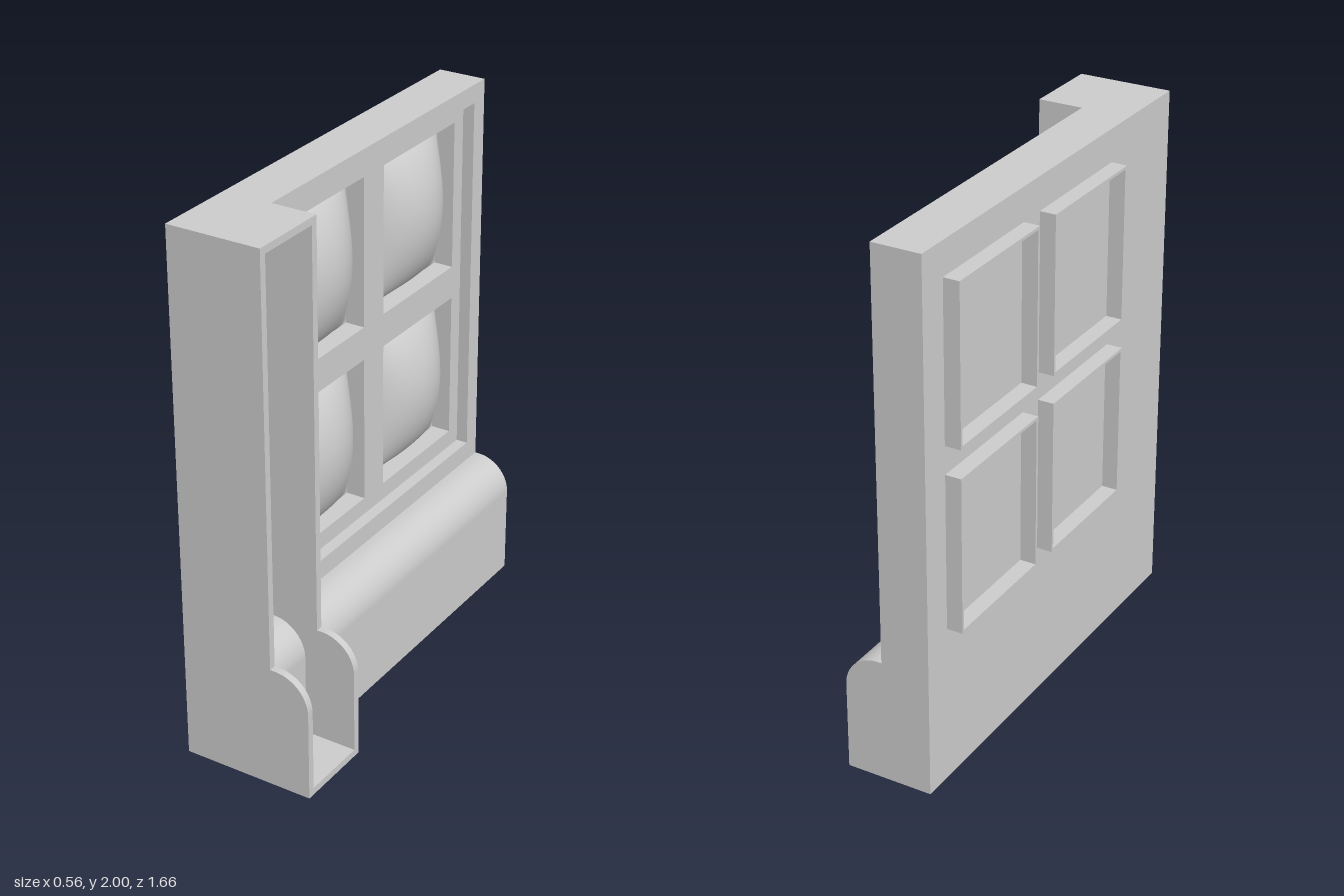
import * as THREE from 'three';

const BACK = -0.225, FACE = -0.04, REBATE = -0.085, GLASS = -0.16;
const END = 0.83, CORNER = 0.52;
const material = new THREE.MeshStandardMaterial({ color: 0xcccccc });

function add(parent, name, geometry) {
  const mesh = new THREE.Mesh(geometry, material);
  mesh.name = name;
  parent.add(mesh);
  return mesh;
}

function box(parent, name, x0, x1, y0, y1, z0, z1) {
  const mesh = add(parent, name, new THREE.BoxGeometry(x1 - x0, y1 - y0, z1 - z0));
  mesh.position.set((x0 + x1) / 2, (y0 + y1) / 2, (z0 + z1) / 2);
}

// Rectangle in the wall plane, drawn with -z to the right
function rect(Type, z0, z1, y0, y1) {
  return new Type([[-z1, y0], [-z0, y0], [-z0, y1], [-z1, y1]].map(([u, y]) => new THREE.Vector2(u, y)));
}

// Rectangular slab with rectangular holes, spanning x0..x1
function panel(parent, name, outer, holes, x0, x1) {
  const shape = rect(THREE.Shape, ...outer);
  holes.forEach((h) => shape.holes.push(rect(THREE.Path, ...h)));
  const geo = new THREE.ExtrudeGeometry(shape, { depth: x1 - x0, bevelEnabled: false });
  geo.rotateY(Math.PI / 2).translate(x0, 0, 0);
  add(parent, name, geo);
}

// Wall section with a round-shouldered plinth, running along z
function section(parent, name, face, plinth, top, z0, z1) {
  const s = new THREE.Shape();
  s.moveTo(BACK, 0);
  s.lineTo(plinth, 0);
  s.lineTo(plinth, 0.34);
  s.absellipse(plinth - 0.13, 0.34, 0.13, 0.13, 0, Math.PI / 2, false);
  s.lineTo(face, 0.47);
  s.lineTo(face, top);
  s.lineTo(BACK, top);
  s.closePath();
  const geo = new THREE.ExtrudeGeometry(s, { depth: z1 - z0, bevelEnabled: false, curveSegments: 10 });
  add(parent, name, geo.translate(0, 0, z0));
}

// Pillowed pane bulging toward +x
function dome(z0, z1, y0, y1) {
  const w = z1 - z0, h = y1 - y0;
  const geo = new THREE.PlaneGeometry(w, h, 24, 24);
  const p = geo.attributes.position;
  for (let i = 0; i < p.count; i++) {
    const u = (2 * p.getX(i)) / w, v = (2 * p.getY(i)) / h;
    p.setZ(i, 0.123 * Math.pow(Math.max(0, (1 - u * u) * (1 - v * v)), 0.75));
  }
  geo.computeVertexNormals();
  return geo.rotateY(Math.PI / 2).translate(GLASS, (y0 + y1) / 2, (z0 + z1) / 2);
}

export function createModel() {
  const model = new THREE.Group();
  model.name = 'windowWall';

  // Four window openings
  const outers = [];
  for (const [z0, z1] of [[-0.71, -0.21], [-0.105, 0.395]])
    for (const [y0, y1] of [[0.6, 1.185], [1.29, 1.877]]) outers.push([z0, z1, y0, y1]);
  const inners = outers.map(([a, b, c, d]) => [a + 0.011, b - 0.011, c + 0.011, d - 0.011]);

  // Wall in two layers: window grid behind, rebated surround in front
  const wall = new THREE.Group();
  wall.name = 'wall';
  model.add(wall);
  panel(wall, 'windowGrid', [-END, CORNER, 0.47, 2], inners, BACK, REBATE);
  panel(wall, 'surround', [-END, CORNER, 0.47, 2], [[-0.76, 0.45, 0.545, 1.93]], REBATE, FACE);
  section(wall, 'wallPlinth', FACE, 0.105, 0.4701, -END, CORNER);

  // Panes and the thin frames standing off the back
  inners.forEach((r, i) => {
    const window = new THREE.Group();
    window.name = 'window' + (i + 1);
    model.add(window);
    const [z0, z1, y0, y1] = r;
    panel(window, 'backFrame', outers[i], [r], -0.285, BACK);
    box(window, 'paneBack', BACK, GLASS, y0, y1, z0, z1);
    add(window, 'domedPane', dome(...r));
  });

  // Corner pillar: two profiled sides around a recessed core
  const pillar = new THREE.Group();
  pillar.name = 'pillar';
  model.add(pillar);
  const rim = 0.027, inset = 0.2, front = 0.13, foot = 0.28;
  section(pillar, 'innerSide', front, foot, 2, CORNER, CORNER + rim);
  section(pillar, 'outerSide', front, foot, 2, END - rim, END);
  section(pillar, 'recessedCore', front - inset, foot - inset, 2, CORNER + rim, END - rim);
  box(pillar, 'topCap', front - inset, front, 2 - rim, 2, CORNER + rim, END - rim);
  box(pillar, 'footPlate', foot - inset, foot, 0, rim, CORNER + rim, END - rim);

  return model;
}
